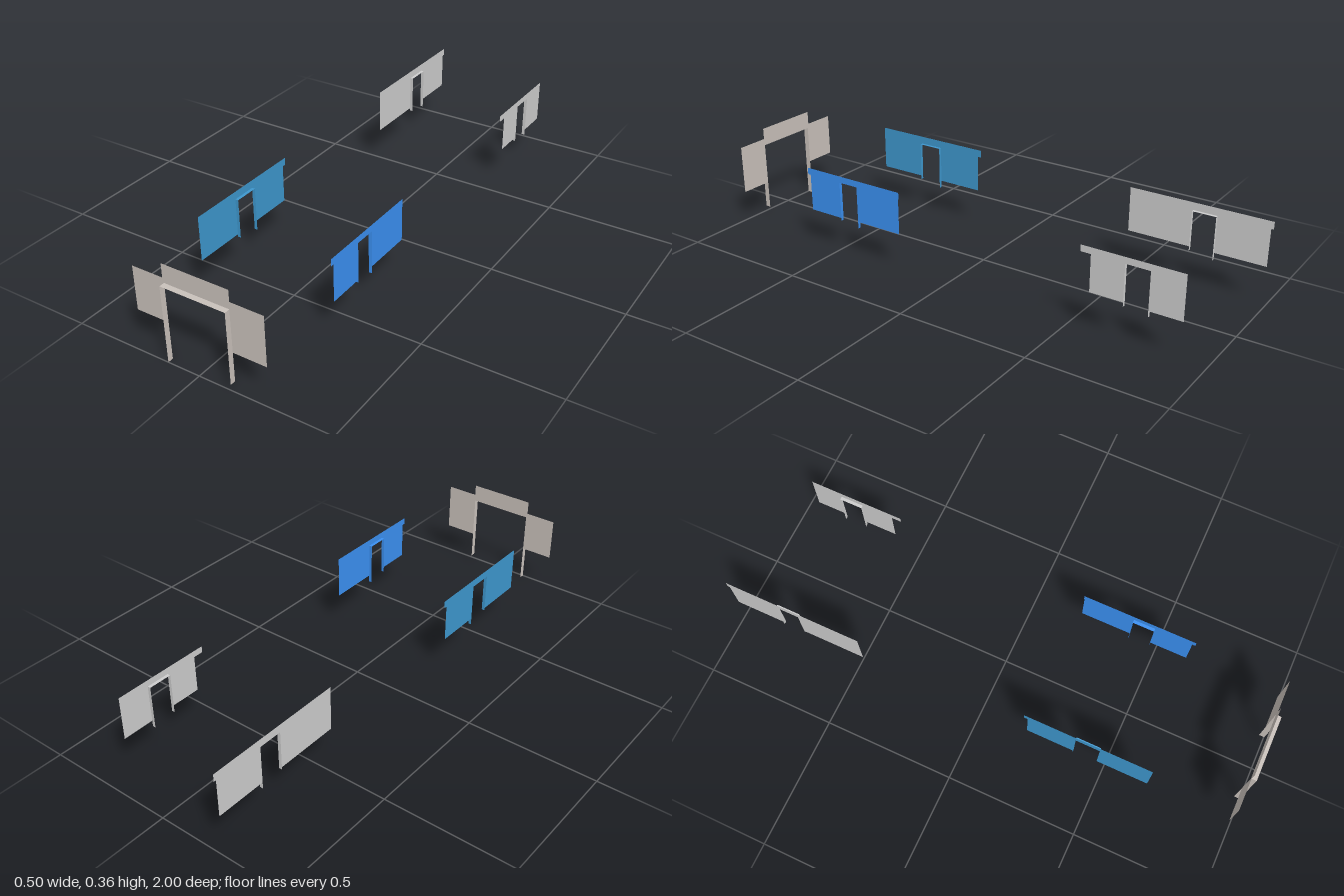
import * as THREE from 'three';

// Flat outline in (u, y), walked anticlockwise: left pier, doorway, right pier, header.
function panelShape(p) {
  const [headA, headB] = p.header;
  const [doorA, doorB] = p.door;
  const s = new THREE.Shape();
  s.moveTo(p.left.u, p.left.bottom);
  s.lineTo(doorA, p.left.bottom);
  s.lineTo(doorA, p.lintel);
  s.lineTo(doorB, p.lintel);
  s.lineTo(doorB, p.right.bottom);
  s.lineTo(p.right.u, p.right.bottom);
  s.lineTo(p.right.u, p.right.top);
  s.lineTo(headB, p.right.top);
  s.lineTo(headB, p.top);
  s.lineTo(headA, p.top);
  s.lineTo(headA, p.left.top);
  s.lineTo(p.left.u, p.left.top);
  s.closePath();
  return s;
}

// One thin wall with a doorway lined by two jambs and a soffit.
function makeWall(name, color, p) {
  const group = new THREE.Group();
  group.name = name;
  const material = new THREE.MeshStandardMaterial({ color, side: THREE.DoubleSide });
  const add = (part, geometry) => {
    const mesh = new THREE.Mesh(geometry, material);
    mesh.name = part;
    group.add(mesh);
  };
  add('panel', new THREE.ShapeGeometry(panelShape(p)));

  const [a, b] = p.door;
  const depth = Math.abs(p.depth);
  [a, b].forEach((u, i) => {
    const h = p.lintel - p.jambBottoms[i];
    const jamb = new THREE.PlaneGeometry(depth, h).rotateY(i ? -Math.PI / 2 : Math.PI / 2);
    add(i ? 'rightJamb' : 'leftJamb', jamb.translate(u, p.lintel - h / 2, p.depth / 2));
  });
  add('soffit', new THREE.PlaneGeometry(b - a, depth).rotateX(Math.PI / 2)
    .translate((a + b) / 2, p.lintel, p.depth / 2));
  return group;
}

export function createModel() {
  const model = new THREE.Group();
  model.name = 'doorwayWalls';

  // Front gate, facing +z
  const gate = makeWall('frontGate', 0xc8c0ba, {
    left: { u: -0.252, bottom: 0.142, top: 0.308 },
    right: { u: 0.252, bottom: 0.13, top: 0.317 },
    header: [-0.13, 0.127], top: 0.36,
    door: [-0.125, 0.125], lintel: 0.29,
    jambBottoms: [0, 0.021], depth: 0.021,
  });
  gate.position.z = 0.979;
  model.add(gate);

  // Side walls: u runs along z, and the door lining points inwards
  const sides = [
    ['leftFrontWall', 0x3a8ff0, 0.247, {
      left: { u: 0.2, bottom: 0.147, top: 0.284 },
      right: { u: 0.619, bottom: 0.142, top: 0.284 },
      header: [0.198, 0.631], top: 0.31,
      door: [0.394, 0.476], lintel: 0.285, jambBottoms: [0.12, 0.131],
    }],
    ['rightFrontWall', 0x3d96cc, -0.253, {
      left: { u: 0.2, bottom: 0.147, top: 0.289 },
      right: { u: 0.667, bottom: 0.147, top: 0.3 },
      header: [0.186, 0.667], top: 0.317,
      door: [0.38, 0.473], lintel: 0.288, jambBottoms: [0.12, 0.137],
    }],
    ['leftBackWall', 0xcccccc, 0.246, {
      left: { u: -0.916, bottom: 0.143, top: 0.29 },
      right: { u: -0.583, bottom: 0.147, top: 0.284 },
      header: [-0.916, -0.545], top: 0.308,
      door: [-0.795, -0.706], lintel: 0.284, jambBottoms: [0.12, 0.13],
    }],
    ['rightBackWall', 0xcccccc, -0.253, {
      left: { u: -0.991, bottom: 0.147, top: 0.289 },
      right: { u: -0.465, bottom: 0.147, top: 0.3 },
      header: [-1, -0.465], top: 0.317,
      door: [-0.8, -0.71], lintel: 0.288, jambBottoms: [0.122, 0.137],
    }],
  ];
  for (const [name, color, x, profile] of sides) {
    const wall = makeWall(name, color, { ...profile, depth: Math.sign(x) * 0.012 });
    wall.rotation.y = -Math.PI / 2;
    wall.position.x = x;
    model.add(wall);
  }
  return model;
}
